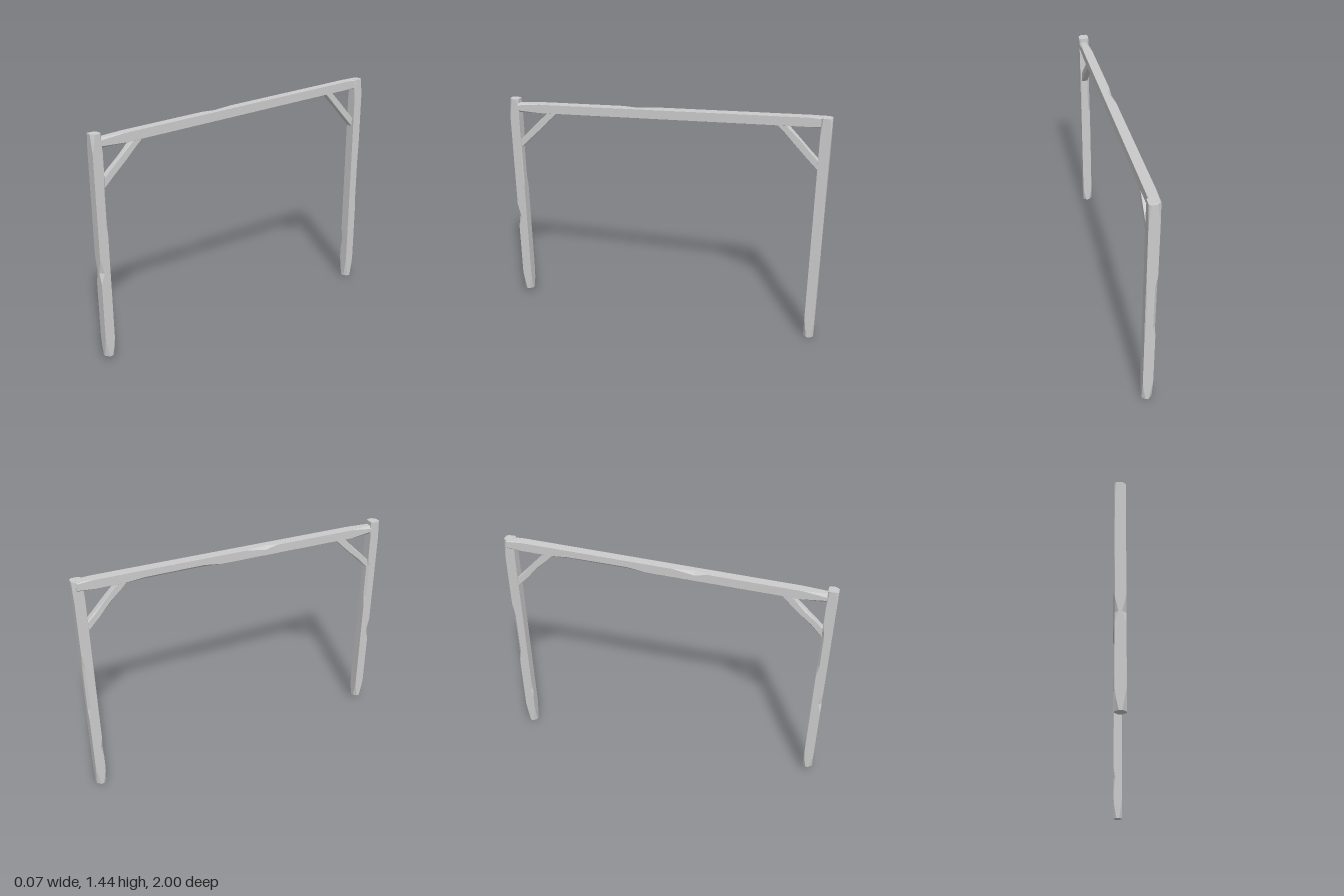
import * as THREE from 'three';

const material = new THREE.MeshStandardMaterial({ color: 0xcccccc, flatShading: true });
const CORNERS = [[1, 1], [1, -1], [-1, -1], [-1, 1]];

// Hewn timber running along +y. Each cut is [height, chamfer of the four corners],
// corner order: +x+z, +x-z, -x-z, -x+z.
function hewnGeometry(width, depth, cuts) {
  const rings = cuts.map(([y, ...chamfers]) => {
    const ring = [];
    CORNERS.forEach(([sx, sz], k) => {
      const c = Math.max(chamfers[k], 0.0008);
      const alongX = new THREE.Vector3(sx * (width / 2 - c), y, sz * depth / 2);
      const alongZ = new THREE.Vector3(sx * width / 2, y, sz * (depth / 2 - c));
      ring.push(...(k % 2 ? [alongZ, alongX] : [alongX, alongZ]));
    });
    return ring;
  });
  const points = [];
  const tri = (...p) => p.forEach((v) => points.push(v.x, v.y, v.z));
  for (let r = 0; r < rings.length - 1; r++) {
    const low = rings[r], high = rings[r + 1];
    for (let i = 0; i < 8; i++) {
      const j = (i + 1) % 8;
      tri(low[i], low[j], high[j]);
      tri(low[i], high[j], high[i]);
    }
  }
  const bottom = rings[0], top = rings[rings.length - 1];
  for (let i = 1; i < 7; i++) {
    tri(bottom[0], bottom[i + 1], bottom[i]);
    tri(top[0], top[i], top[i + 1]);
  }
  const geometry = new THREE.BufferGeometry();
  geometry.setAttribute('position', new THREE.Float32BufferAttribute(points, 3));
  geometry.computeVertexNormals();
  return geometry;
}

// Places a timber between two [y, z] points; cut heights are fractions of its length
function timber(name, x, from, to, width, depth, cuts) {
  const dy = to[0] - from[0], dz = to[1] - from[1];
  const length = Math.hypot(dy, dz);
  const scaled = cuts.map(([t, ...c]) => [t * length, ...c]);
  const mesh = new THREE.Mesh(hewnGeometry(width, depth, scaled), material);
  mesh.name = name;
  mesh.position.set(x, from[0], from[1]);
  mesh.rotation.x = Math.atan2(dz, dy);
  return mesh;
}

export function createModel() {
  const group = new THREE.Group();
  group.name = 'timberFrame';

  // Uprights, with worn feet and axe-cut edges
  group.add(timber('frontPost', -0.008, [0.035, 0.97], [1.39, 0.97], 0.062, 0.06, [
    [0, 0.022, 0.02, 0.02, 0.022],
    [0.05, 0.01, 0.006, 0.006, 0.008],
    [0.09, 0, 0, 0, 0],
    [0.35, 0, 0, 0, 0],
    [0.4, 0.022, 0, 0, 0.02],
    [0.47, 0, 0, 0, 0],
    [0.56, 0, 0, 0, 0],
    [0.61, 0, 0.006, 0.014, 0],
    [0.78, 0, 0.006, 0.014, 0],
    [0.83, 0, 0, 0, 0],
    [0.92, 0, 0, 0, 0],
    [1, 0.02, 0.01, 0.008, 0.008],
  ]));
  group.add(timber('backPost', 0.001, [0, -0.966], [1.44, -0.966], 0.062, 0.062, [
    [0, 0.02, 0.02, 0.022, 0.02],
    [0.06, 0.008, 0.006, 0.009, 0.006],
    [0.1, 0, 0, 0, 0],
    [0.14, 0, 0, 0, 0],
    [0.2, 0, 0, 0, 0.013],
    [0.25, 0, 0, 0, 0],
    [0.36, 0, 0, 0, 0],
    [0.41, 0, 0.005, 0.016, 0],
    [0.62, 0, 0.005, 0.014, 0],
    [0.68, 0, 0, 0, 0],
    [0.92, 0, 0, 0, 0],
    [1, 0.01, 0.012, 0.018, 0.01],
  ]));

  // Sloping cross beam
  group.add(timber('crossBeam', -0.007, [1.336, 0.95], [1.413, -0.975], 0.058, 0.056, [
    [0, 0.012, 0.012, 0.02, 0.018],
    [0.08, 0, 0, 0, 0],
    [0.36, 0, 0, 0, 0],
    [0.4, 0, 0, 0, 0.02],
    [0.47, 0, 0, 0, 0],
    [0.55, 0, 0, 0, 0],
    [0.61, 0, 0, 0.015, 0],
    [0.8, 0, 0, 0.012, 0],
    [0.86, 0, 0, 0, 0],
    [0.95, 0, 0, 0, 0],
    [1, 0.01, 0.006, 0.008, 0.01],
  ]));

  // Diagonal braces, ends let into post and beam
  const braceCuts = [
    [0, 0.002, 0.002, 0.002, 0.002],
    [0.3, 0, 0.003, 0.008, 0.002],
    [0.55, 0.002, 0, 0.002, 0.008],
    [0.8, 0.004, 0.003, 0, 0.002],
    [1, 0.002, 0.002, 0.002, 0.002],
  ];
  group.add(timber('frontBrace', -0.007, [1.08, 0.962], [1.337, 0.696], 0.04, 0.042, braceCuts));
  group.add(timber('backBrace', -0.005, [1.13, -0.957], [1.4, -0.69], 0.04, 0.042, braceCuts));
  return group;
}
